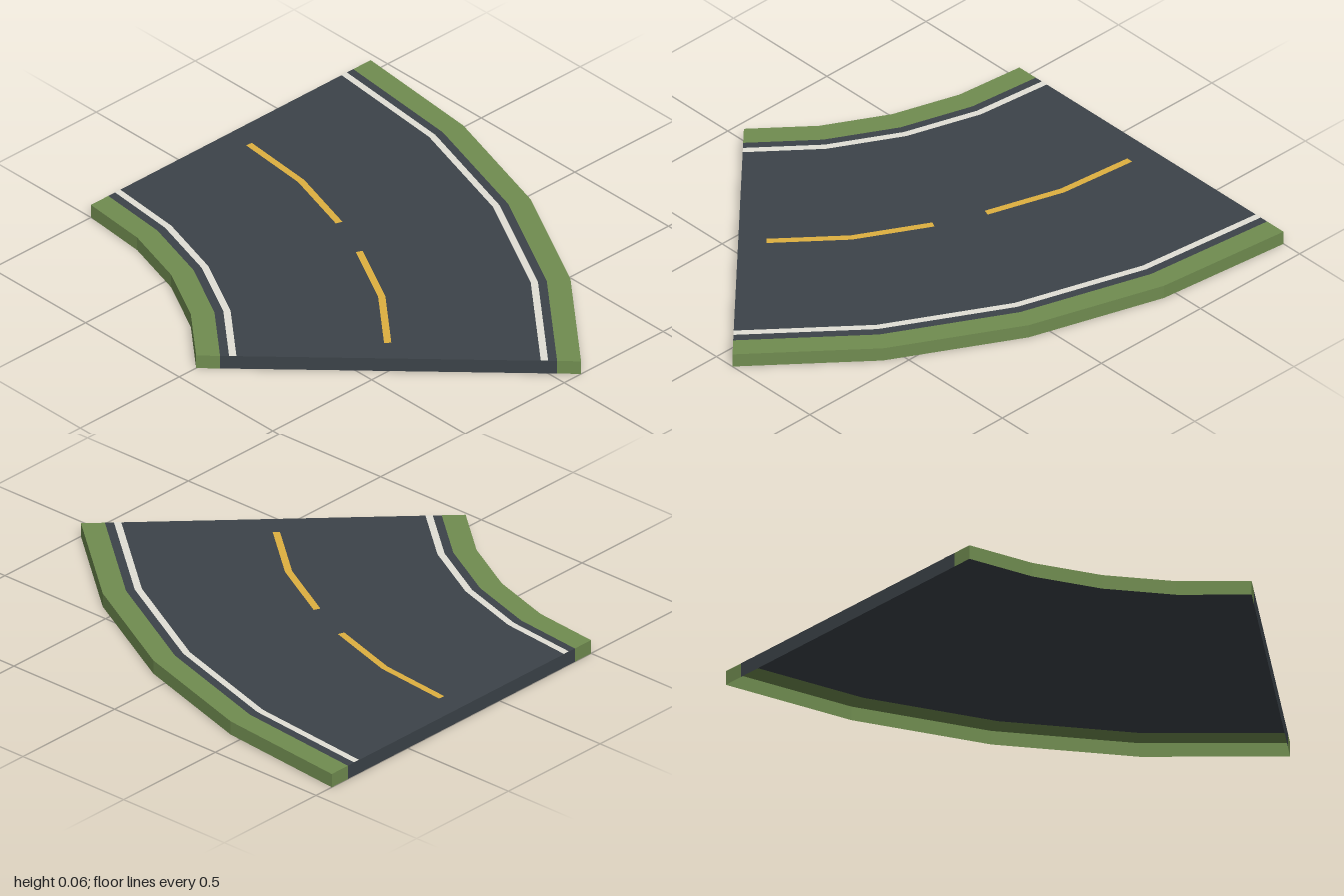
import * as THREE from 'three';

const CENTRE_X = -1.914, CENTRE_Z = -1; // centre of the bend
const STEP = Math.PI / 16;              // four straight facets over 45 degrees
const INNER = 1.414, OUTER = 2.828, MIDDLE = 2.125;
const VERGE = 0.088, HEIGHT = 0.055, PAINT_Y = HEIGHT + 0.001;

// Point on the faceted arc of radius r at height y, t measured in facets (0 to 4)
function arcPoint([r, y], t) {
  const corner = (i) => new THREE.Vector3(
    CENTRE_X + r * Math.cos(i * STEP), y, CENTRE_Z + r * Math.sin(i * STEP));
  const i = Math.floor(t);
  return corner(i).lerp(corner(i + 1), t - i);
}

// Flat-shaded mesh from a list of four-cornered faces
function quadMesh(name, material, quads) {
  const points = quads.flatMap(([a, b, c, d]) => [a, b, c, a, c, d]);
  const geometry = new THREE.BufferGeometry().setFromPoints(points);
  geometry.computeVertexNormals();
  const mesh = new THREE.Mesh(geometry, material);
  mesh.name = name;
  return mesh;
}

// Sweep a [radius, height] profile along the arc from t0 to t1
function sweep(profile, t0, t1) {
  const stops = [t0];
  for (let i = Math.floor(t0) + 1; i < t1; i++) stops.push(i);
  stops.push(t1);
  const quads = [];
  for (let s = 0; s + 1 < stops.length; s++) {
    for (let p = 0; p + 1 < profile.length; p++) {
      const [from, to] = [profile[p], profile[p + 1]];
      quads.push([arcPoint(from, stops[s]), arcPoint(from, stops[s + 1]),
        arcPoint(to, stops[s + 1]), arcPoint(to, stops[s])]);
    }
  }
  return quads;
}

// Upright end walls between two radii, at both ends of the bend
function endWalls(r0, r1) {
  const outline = [[r0, 0], [r0, HEIGHT], [r1, HEIGHT], [r1, 0]];
  return [outline.map((p) => arcPoint(p, 0)),
    outline.map((p) => arcPoint(p, 4)).reverse()];
}

function flat(name, color) {
  return new THREE.MeshStandardMaterial({ name, color, side: THREE.DoubleSide });
}

export function createModel() {
  const group = new THREE.Group();
  group.name = 'curvedRoad';
  const asphalt = flat('asphalt', 0x3c4349);
  const grass = flat('grass', 0x708c50);
  const white = flat('whitePaint', 0xe2e0d6);
  const yellow = flat('yellowPaint', 0xdeb040);

  // Road and grass verges: a shell open underneath
  const roadIn = INNER + VERGE, roadOut = OUTER - VERGE;
  group.add(
    quadMesh('roadSurface', asphalt, [
      ...sweep([[roadIn, HEIGHT], [roadOut, HEIGHT]], 0, 4),
      ...endWalls(roadIn, roadOut)]),
    quadMesh('innerVerge', grass, [
      ...sweep([[INNER, 0], [INNER, HEIGHT], [roadIn, HEIGHT]], 0, 4),
      ...endWalls(INNER, roadIn)]),
    quadMesh('outerVerge', grass, [
      ...sweep([[roadOut, HEIGHT], [OUTER, HEIGHT], [OUTER, 0]], 0, 4),
      ...endWalls(roadOut, OUTER)]));

  // Painted stripes lying on the road
  const stripe = (name, material, r0, r1, t0, t1) => group.add(
    quadMesh(name, material, sweep([[r0, PAINT_Y], [r1, PAINT_Y]], t0, t1)));
  stripe('innerEdgeLine', white, INNER + 0.121, INNER + 0.148, 0, 4);
  stripe('outerEdgeLine', white, OUTER - 0.148, OUTER - 0.121, 0, 4);
  for (const start of [0.25, 2.25]) {
    stripe('centreDash', yellow, MIDDLE - 0.0135, MIDDLE + 0.0135, start, start + 1.5);
  }
  return group;
}
